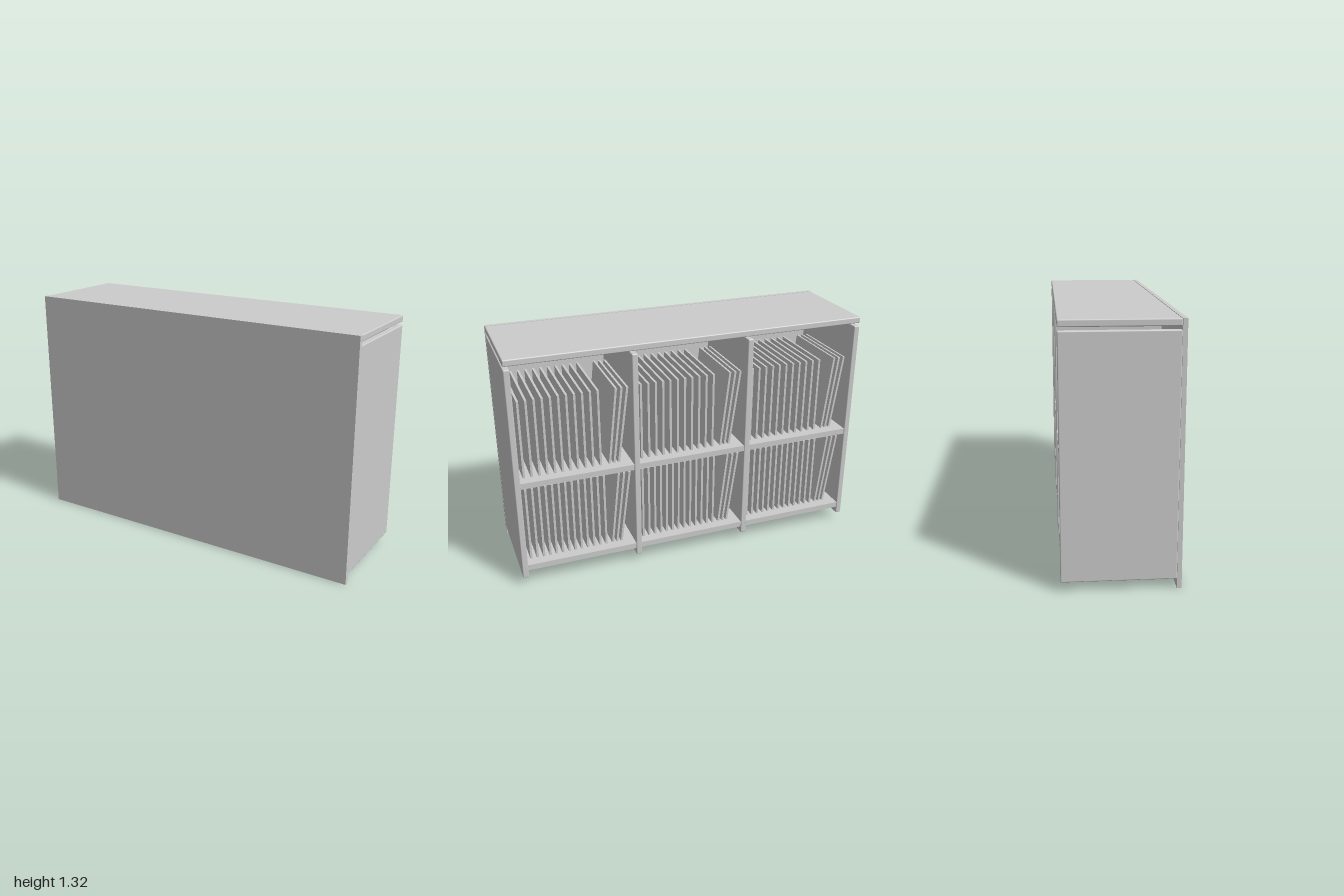
import * as THREE from 'three';
import { RoundedBoxGeometry } from 'three/addons/geometries/RoundedBoxGeometry.js';

export function createModel() {
  const model = new THREE.Group();
  model.name = 'recordCabinet';
  const grey = new THREE.MeshStandardMaterial({ color: 0xcccccc });
  grey.name = 'plain grey';

  const board = 0.033, zBack = -0.295, zInner = 0.272;
  const depth = zInner - zBack, zMid = (zInner + zBack) / 2;
  const pitch = (2 - board) / 3, cell = pitch - board;

  function add(name, geometry, x, y, z, parent = model) {
    const mesh = new THREE.Mesh(geometry, grey);
    mesh.name = name;
    mesh.position.set(x, y, z);
    parent.add(mesh);
    return mesh;
  }

  // Full-height panel closing the front
  add('frontPanel', new THREE.BoxGeometry(2, 1.322, 0.023), 0, 0.661, 0.2835);

  // Top board, separated from the uprights by a narrow slot
  add('topBoard', new RoundedBoxGeometry(2, 0.035, depth, 2, 0.006), 0, 1.3045, zMid);

  // Sides and dividers, running a little below the lowest shelf
  const upright = new RoundedBoxGeometry(board, 1.22, depth, 2, 0.006);
  for (let i = 0; i < 4; i++) {
    add(i % 3 ? 'divider' : 'sidePanel', upright, (i - 1.5) * pitch, 0.66, zMid);
  }

  // Shelves and the thin sleeves stored on them
  const shelf = new THREE.BoxGeometry(cell, board, depth - 0.004);
  const size = 0.44;
  const sleeve = new THREE.BoxGeometry(0.012, size, size);
  sleeve.translate(0, size / 2, 0);
  const rows = [
    { top: 0.125, count: 13, step: 0.036 },
    { top: 0.633, count: 11, step: 0.042 },
  ];
  for (const { top, count, step } of rows) {
    for (let c = -1; c <= 1; c++) {
      const x = c * pitch;
      add('shelf', shelf, x, top - board / 2, zMid + 0.002);
      const stack = new THREE.Group();
      stack.name = 'sleeveStack';
      stack.position.set(x + cell / 2, top, -0.015);
      model.add(stack);
      // Upright sleeves
      for (let i = 0; i < count; i++) {
        add('sleeve', sleeve, -0.03 - i * step, 0, 0, stack);
      }
      // Sleeves leaning on the divider
      [0.5, 0.526, 0.552].forEach((offset, i) => {
        add('leaningSleeve', sleeve, -offset, 0.001, 0, stack).rotation.z = 0.11 + i * 0.012;
      });
    }
  }
  return model;
}
